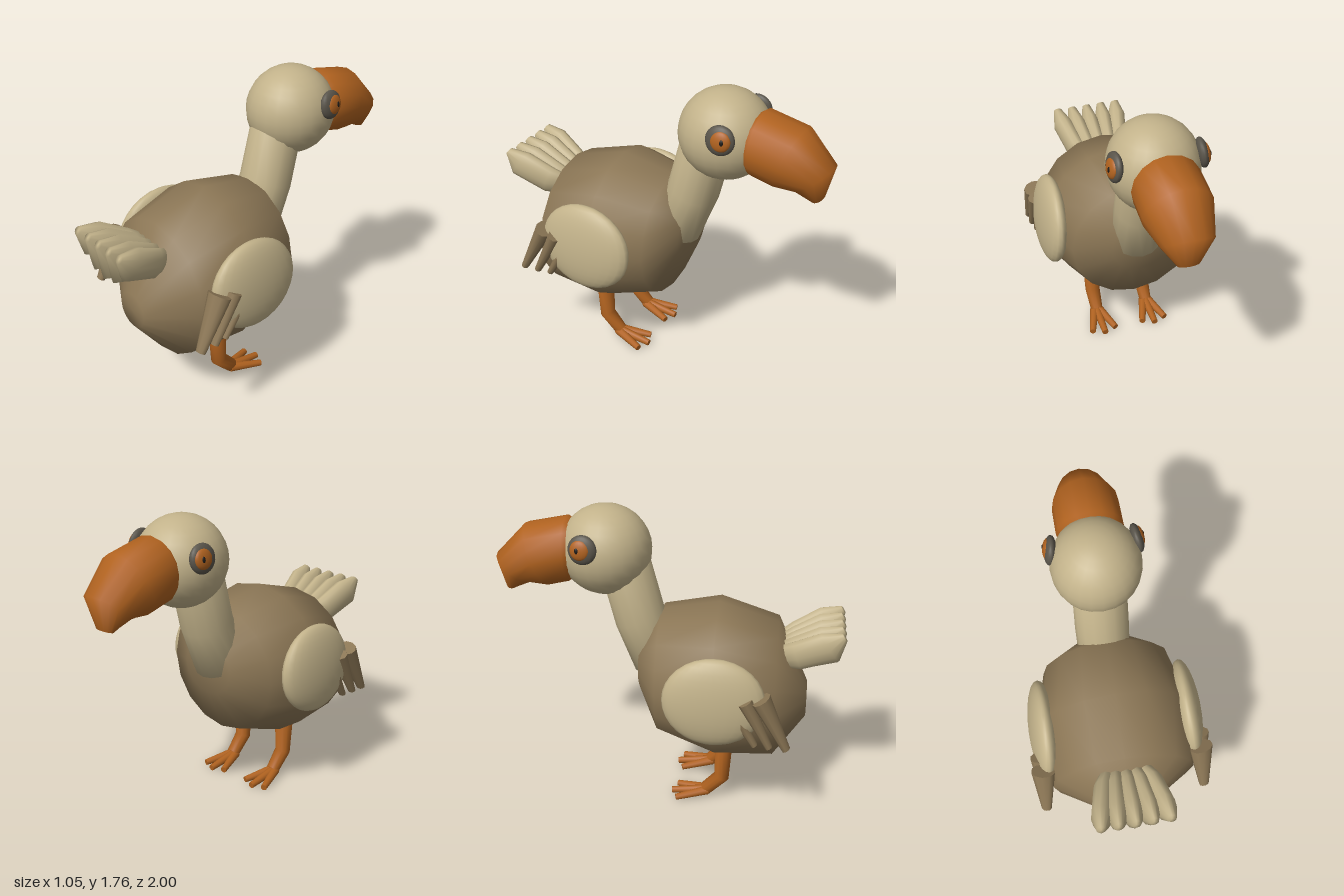
import * as THREE from 'three';

const mat = (name, color) => {
  const m = new THREE.MeshStandardMaterial({ color });
  m.name = name;
  return m;
};

// Closed skin over elliptical rings. Ring: [x, z1, y1, z2, y2, halfWidth],
// where (z1, y1) and (z2, y2) are opposite ends of the ring in the side plane.
function loft(rings, sides = 16) {
  const pos = [], index = [];
  for (const [x, z1, y1, z2, y2, w] of rings) {
    for (let j = 0; j < sides; j++) {
      const a = (j / sides) * Math.PI * 2, c = Math.cos(a), s = Math.sin(a);
      pos.push(x + w * c, (y1 + y2) / 2 + (s * (y1 - y2)) / 2, (z1 + z2) / 2 + (s * (z1 - z2)) / 2);
    }
  }
  const last = rings.length - 1;
  for (let i = 0; i < last; i++) {
    for (let j = 0; j < sides; j++) {
      const k = (j + 1) % sides, a = i * sides, b = a + sides;
      index.push(a + j, a + k, b + j, a + k, b + k, b + j);
    }
  }
  // End caps
  for (const i of [0, last]) {
    const [x, z1, y1, z2, y2] = rings[i];
    const centre = pos.length / 3;
    pos.push(x, (y1 + y2) / 2, (z1 + z2) / 2);
    for (let j = 0; j < sides; j++) {
      const a = i * sides + j, b = i * sides + ((j + 1) % sides);
      if (i === 0) index.push(centre, b, a);
      else index.push(centre, a, b);
    }
  }
  const g = new THREE.BufferGeometry();
  g.setAttribute('position', new THREE.Float32BufferAttribute(pos, 3));
  g.setIndex(index);
  g.computeVertexNormals();
  return g;
}

export function createModel() {
  const model = new THREE.Group();
  const brown = mat('brown plumage', 0x8b7655);
  const tan = mat('tan plumage', 0xc2b28a);
  const orange = mat('orange horn', 0xb0621f);
  const dark = mat('dark eye rim', 0x59544a);
  const black = mat('pupil black', 0x1c1a18);

  const add = (parent, name, geometry, material) => {
    const m = new THREE.Mesh(geometry, material);
    m.name = name;
    parent.add(m);
    return m;
  };
  const ball = (parent, name, material, p, r, seg = 24) => {
    const m = add(parent, name, new THREE.SphereGeometry(1, seg, 16), material);
    m.position.set(...p);
    m.scale.set(...r);
    return m;
  };
  // Tapered rod from a to b
  const rod = (parent, name, material, a, b, ra, rb, widen = 1) => {
    const A = new THREE.Vector3(...a), B = new THREE.Vector3(...b), d = B.clone().sub(A);
    const m = add(parent, name, new THREE.CylinderGeometry(rb, ra, d.length(), 10), material);
    m.position.copy(A).add(B).multiplyScalar(0.5);
    m.quaternion.setFromUnitVectors(new THREE.Vector3(0, 1, 0), d.normalize());
    m.scale.x = widen;
    return m;
  };

  // Body, chest to rump
  add(model, 'body', loft([
    [0, -0.17, 0.98, -0.17, 0.66, 0.17],
    [0, -0.05, 1.155, -0.05, 0.4, 0.375],
    [0, 0.28, 1.215, 0.28, 0.28, 0.465],
    [0, 0.62, 1.11, 0.62, 0.29, 0.41],
    [0, 0.8, 0.73, 0.8, 0.52, 0.105],
  ]), brown);

  // Neck, head down to chest
  add(model, 'neck', loft([
    [0, -0.13, 1.5, -0.41, 1.41, 0.15],
    [0, -0.04, 1.16, -0.32, 1.05, 0.155],
    [0, 0.07, 0.89, -0.21, 0.77, 0.15],
  ]), tan);

  ball(model, 'head', tan, [0, 1.502, -0.368], [0.252, 0.257, 0.262]);

  // Hooked beak, tip back to face
  add(model, 'beak', loft([
    [0, -0.952, 1.26, -0.895, 1.248, 0.06],
    [0, -0.998, 1.45, -0.8, 1.29, 0.14],
    [0, -0.825, 1.632, -0.69, 1.28, 0.188],
    [0, -0.59, 1.682, -0.57, 1.31, 0.188],
    [0, -0.5, 1.62, -0.5, 1.36, 0.13],
  ]), orange);

  // Fan of five tail feathers
  for (let i = -2; i <= 2; i++) {
    const lift = i * i * 0.012;
    add(model, 'tailFeather', loft([
      [i * 0.045, 0.6, 0.99, 0.68, 0.82 + lift, 0.045],
      [i * 0.07, 0.7, 1.05, 0.76, 0.84 + lift, 0.055],
      [i * 0.088, 0.85, 1.13, 0.965, 0.9 + lift * 1.5, 0.058],
      [i * 0.095, 0.97, 1.14, 0.998, 1.1, 0.025],
    ], 12), tan);
  }

  for (const s of [-1, 1]) {
    const side = s > 0 ? 'left' : 'right';

    // Eye facing outward and slightly forward
    const eye = new THREE.Group();
    eye.name = side + 'Eye';
    eye.position.set(s * 0.235, 1.575, -0.452);
    eye.rotation.set(0, s * 0.12, s * 0.15);
    model.add(eye);
    ball(eye, 'eyeRim', dark, [0, 0, 0], [0.034, 0.082, 0.082], 16);
    ball(eye, 'iris', orange, [s * 0.018, 0, -0.008], [0.024, 0.057, 0.057], 16);
    ball(eye, 'pupil', black, [s * 0.037, 0, -0.02], [0.008, 0.018, 0.012], 10);

    // Wing with three trailing feathers
    const wing = new THREE.Group();
    wing.name = side + 'Wing';
    model.add(wing);
    const pad = ball(wing, 'wingPad', tan, [s * 0.425, 0.795, 0.288], [0.082, 0.255, 0.288]);
    pad.rotation.z = s * 0.1;
    rod(wing, 'wingFeather', brown, [s * 0.455, 0.848, 0.55], [s * 0.472, 0.555, 0.7], 0.052, 0.022, 1.35);
    rod(wing, 'wingFeather', brown, [s * 0.465, 0.835, 0.465], [s * 0.472, 0.56, 0.605], 0.042, 0.02, 1.3);
    rod(wing, 'wingFeather', brown, [s * 0.455, 0.74, 0.42], [s * 0.46, 0.56, 0.525], 0.034, 0.018, 1.3);

    // Bent leg and three forward toes
    const leg = new THREE.Group();
    leg.name = side + 'Leg';
    model.add(leg);
    add(leg, 'shank', loft([
      [s * 0.165, 0.385, 0.345, 0.285, 0.345, 0.056],
      [s * 0.165, 0.37, 0.13, 0.285, 0.165, 0.047],
      [s * 0.165, 0.26, 0.02, 0.205, 0.08, 0.038],
    ], 12), orange);
    for (const t of [-1, 0, 1]) {
      rod(leg, 'toe', orange, [s * 0.165 + t * 0.012, 0.045, 0.245],
        [s * 0.165 + t * 0.075, 0.021, t ? 0.06 : 0.03], 0.028, 0.019);
    }
  }
  return model;
}
